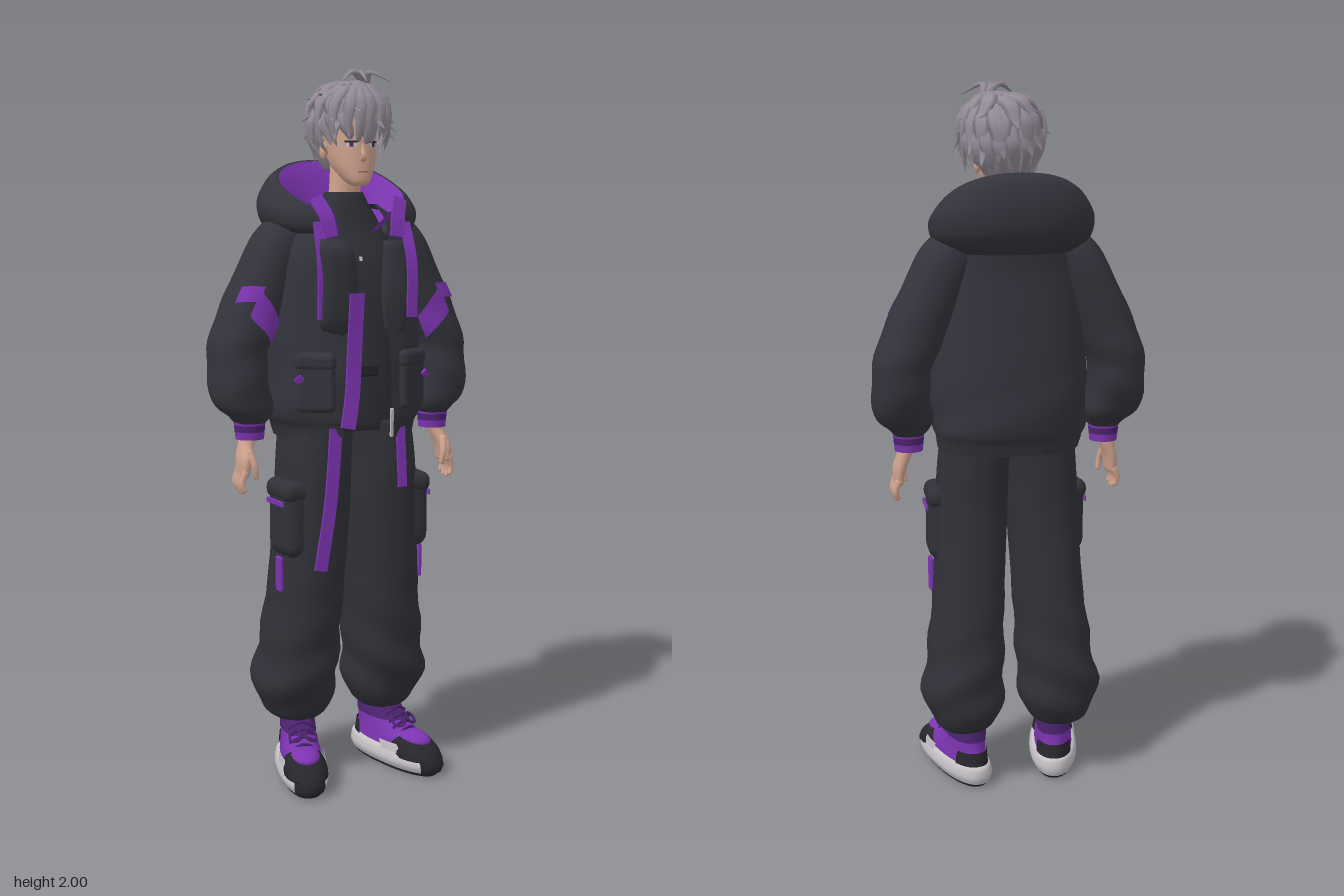
import * as THREE from 'three';
import { toCreasedNormals } from 'three/addons/utils/BufferGeometryUtils.js';
import { RoundedBoxGeometry } from 'three/addons/geometries/RoundedBoxGeometry.js';

const PI = Math.PI, V = (x, y, z) => new THREE.Vector3(x, y, z);
const mat = (name, color, side = THREE.FrontSide) => {
  const m = new THREE.MeshStandardMaterial({ color, side });
  m.name = name;
  return m;
};

// Closed or open skin over rings of points, listed from bottom to top
function skin(rings, closed = true) {
  const m = rings[0].length, pts = rings.flat(), idx = [];
  for (let i = 0; i < rings.length - 1; i++)
    for (let j = 0; j < (closed ? m : m - 1); j++) {
      const a = i * m + j, b = i * m + (j + 1) % m;
      idx.push(a, a + m, b + m, a, b + m, b);
    }
  if (closed) [0, rings.length - 1].forEach((r, top) => {
    const c = rings[r].reduce((s, p) => s.add(p), V(0, 0, 0)).divideScalar(m);
    pts.push(c);
    for (let j = 0; j < m; j++) {
      const a = r * m + j, b = r * m + (j + 1) % m;
      idx.push(pts.length - 1, top ? b : a, top ? a : b);
    }
  });
  const g = new THREE.BufferGeometry().setFromPoints(pts);
  g.setIndex(idx);
  g.computeVertexNormals();
  return g;
}

// Cross-section rows: x, y, z, radius x, radius z, tilt over x, tilt over z, half-gap angle at the front
function interp(rows, t) {
  const n = rows.length - 1, i = Math.min(Math.floor(t), n - 1), f = t - i;
  const r = k => rows[Math.max(0, Math.min(n, k))];
  return Array.from({ length: 8 }, (_, k) => {
    const [a, b, c, d] = [r(i - 1), r(i), r(i + 1), r(i + 2)].map(q => q[k] ?? 0);
    return b + 0.5 * f * (c - a + f * (2 * a - 5 * b + 4 * c - d + f * (3 * (b - c) + d - a)));
  });
}
const box = v => Math.sign(v) * Math.abs(v) ** 0.88;
function at(rows, t, a, off = 0, fold) {
  const [x, y, z, rx, rz, tx, tz] = interp(rows, t), c = Math.cos(a), s = Math.sin(a);
  const k = fold ? 1 + fold(a, y) : 1;
  return V(x + (rx * k + off) * box(c), y + tx * c + tz * s, z + (rz * k + off) * box(s));
}
function loft(rows, { seg = 36, steps = 5, open = false, fold } = {}) {
  const rings = [], n = (rows.length - 1) * steps;
  for (let i = 0; i <= n; i++) {
    const t = i / steps, g = open ? interp(rows, t)[7] : 0;
    rings.push(Array.from({ length: open ? seg + 1 : seg }, (_, j) =>
      at(rows, t, PI / 2 + g + (2 * PI - 2 * g) * j / seg, 0, fold)));
  }
  return skin(rings, !open);
}
// Thin panel lying on a lofted surface
function patch(rows, y0, y1, a0, a1, { side = 1, off = 0.006, slant = 0, fold } = {}) {
  if (side < 0) [a0, a1] = [PI - a1, PI - a0];
  const find = y => {
    let lo = 0, hi = rows.length - 1;
    for (let i = 0; i < 24; i++) interp(rows, (lo + hi) / 2)[1] < y ? lo = (lo + hi) / 2 : hi = (lo + hi) / 2;
    return lo;
  };
  return skin([0, 1, 2, 3].map(i => Array.from({ length: 13 }, (_, j) => at(rows,
    find(y0 + (y1 - y0) * i / 3 + slant * side * (j / 12 - 0.5)), a0 + (a1 - a0) * j / 12, off, fold))), false);
}
// Flattened strand along a curve; four sides make a flat ribbon
function sweep(pts, w, th, { ref = () => V(0, 0, 1), sides = 8, steps = 10 } = {}) {
  const curve = new THREE.CatmullRomCurve3(pts.map(p => Array.isArray(p) ? V(...p) : p));
  const val = (f, t) => typeof f === 'function' ? f(t) : f, k = sides === 4 ? Math.SQRT2 : 1, rings = [];
  for (let i = 0; i <= steps; i++) {
    const t = i / steps, P = curve.getPoint(t), T = curve.getTangent(t);
    const S = T.clone().cross(ref(P)).normalize(), N = S.clone().cross(T);
    rings.push(Array.from({ length: sides }, (_, j) => {
      const a = (j + (sides === 4 ? 0.5 : 0)) * 2 * PI / sides;
      return P.clone().addScaledVector(S, k * val(w, t) * Math.cos(a)).addScaledVector(N, k * val(th, t) * Math.sin(a));
    }));
  }
  const g = skin(rings);
  return sides === 4 ? toCreasedNormals(g, 0.7) : g;
}

export function createModel() {
  const model = new THREE.Group(), D = THREE.DoubleSide;
  const jacket = mat('charcoal jacket', 0x33343c, D), cloth = mat('charcoal trousers', 0x303138, D);
  const purple = mat('purple trim', 0x7c34b0, D), violet = mat('dark violet', 0x4d2470, D);
  const grey = mat('ash hair', 0x938b97, D), skinTone = mat('skin', 0xd0a38e, D);
  const white = mat('sole white', 0xc4c0c4, D), black = mat('black', 0x26262c, D), lip = mat('lips', 0xa06a60, D);
  const add = (name, geo, m, parent = model) => {
    const o = new THREE.Mesh(geo, m);
    o.name = name;
    parent.add(o);
    return o;
  };
  const block = (name, m, [w, h, d], [x, y, z], ry = 0, rx = 0, parent = model) => {
    const o = add(name, new RoundedBoxGeometry(w, h, d, 3, Math.min(w, h, d) * 0.45), m, parent);
    o.position.set(x, y, z);
    o.rotation.set(rx, ry, 0);
  };

  // Head, neck and face
  const head = [[.014, 1.688, .072, .016, .018], [.014, 1.703, .06, .034, .04], [.014, 1.75, .028, .058, .072],
    [.014, 1.82, .005, .07, .092], [.014, 1.89, 0, .072, .092], [.014, 1.94, -.01, .05, .06]];
  add('head', loft(head), skinTone);
  add('neck', loft([[0, 1.6, -.015, .052, .05], [.004, 1.66, -.005, .043, .044], [.01, 1.76, 0, .044, .046]]), skinTone);
  add('nose', sweep([[.014, 1.81, .089], [.014, 1.785, .097], [.014, 1.765, .105], [.014, 1.757, .092]],
    t => .005 + .006 * t, .007), skinTone);
  add('mouth', patch(head, 1.724, 1.728, 1.3, 1.84, { off: .002 }), lip);
  for (const side of [-1, 1]) {
    add('eyeWhite', patch(head, 1.793, 1.806, .92, 1.33, { side, off: .002 }), white);
    add('iris', patch(head, 1.793, 1.806, 1.06, 1.22, { side, off: .003 }), violet);
    add('eyelash', patch(head, 1.804, 1.809, .88, 1.36, { side, off: .004 }), black);
    const ear = add('ear', new THREE.SphereGeometry(1, 12, 8), skinTone);
    ear.scale.set(.011, .025, .016);
    ear.position.set(.014 + side * .072, 1.785, -.005);
  }

  // Hair: a cap covered with layers of tapering, flicked-out locks
  let seed = 11;
  const rnd = () => (seed = (seed * 16807) % 2147483647) / 2147483647;
  const C = V(.022, 1.86, -.022), R = V(.107, .118, .12);
  const pt = (th, ph, k) => V(Math.sin(th) * Math.sin(ph), Math.cos(th), Math.sin(th) * Math.cos(ph))
    .multiply(R).multiplyScalar(k).add(C);
  const cap = add('hairCap', new THREE.SphereGeometry(.97, 32, 20, 0, 2 * PI, 0, PI * .64)
    .rotateX(-.68).scale(R.x, R.y, R.z), grey);
  cap.position.copy(C);
  const lock = (pts, w) => add('hairLock', sweep(pts, t => w * Math.min(1, .45 + 2 * t) * (1.001 - t) ** .75,
    t => .013 * (1.02 - t), { ref: p => p.clone().sub(C).normalize(), sides: 6, steps: 9 }), grey);
  const whorl = pt(.5, .9, 1);
  for (const [n, t0, t1, k, w] of [[11, .3, 1.2, 1.12, .036], [15, .5, 1.7, 1.14, .034], [19, 1.0, 2.12, 1.06, .031]])
    for (let i = 0; i < n; i++) {
      const ph = (i + rnd() * .7) / n * 2 * PI, tw = (rnd() - .3) * .6, f = Math.cos(ph + tw);
      const end = t1 * (f > 0 ? 1 - .1 * f : 1 - .19 * f) + (rnd() - .5) * .35;
      const start = pt(t0, ph, .98).lerp(whorl, t0 < .4 ? .75 : .2);
      lock([start, pt((t0 + end) / 2, ph + tw * .3, 1.05), pt(end * .9, ph + tw * .8, 1.07), pt(end, ph + tw, k + rnd() * .2)], w);
    }
  // Parted fringe and side locks
  for (const [ph, end, k] of [[-.75, 2.1, 1.12], [-.42, 1.95, 1.17], [-.18, 2.12, 1.1], [.02, 2.3, 1.04], [.34, 1.95, 1.16],
    [.62, 2.1, 1.12], [-1.1, 2.3, 1.1], [1.1, 2.3, 1.12], [-1.5, 2.35, 1.12], [1.5, 2.3, 1.25], [1.3, 1.9, 1.35]])
    lock([pt(.6, ph * .7 + .2, 1.02), pt(1.2, ph * 1.15 + .08, 1.13), pt(end * .85, ph * 1.1, 1.1), pt(end, ph, k)], .024);
  for (const [x, z] of [[-.06, .06], [0, .1], [.1, .07]])
    lock([whorl, [.03 + x * .3, 1.997, .02 + z * .3], [.02 + x, 1.965, .01 + z]], .016);
  // Nape
  add('hairNape', loft([[.012, 1.735, -.055, .045, .03], [.016, 1.77, -.055, .07, .05], [.02, 1.82, -.05, .09, .075]]), grey);

  // Shirt, buckle
  const shirt = [[0, 1.015, 0, .17, .128], [0, 1.2, 0, .165, .135], [0, 1.45, 0, .155, .118], [0, 1.57, -.01, .115, .086],
    [0, 1.65, 0, .064, .06], [0, 1.672, 0, .053, .053]];
  add('shirt', loft(shirt), cloth);
  add('shirtZip', patch(shirt, 1.485, 1.497, 1.55, 1.59), white);
  block('buckle', black, [.06, .035, .015], [.012, 1.185, .137]);

  // Open jacket
  const coat = [[0, .995, -.002, .2, .158, 0, 0, .3], [0, 1.03, -.002, .208, .167, 0, 0, .3], [0, 1.07, -.002, .222, .178, 0, 0, .28],
    [0, 1.2, -.002, .222, .176, 0, 0, .25], [0, 1.38, 0, .212, .158, 0, 0, .24], [0, 1.5, 0, .2, .144, 0, 0, .35],
    [0, 1.59, -.02, .165, .125, 0, 0, .5], [0, 1.64, -.02, .1, .09, 0, 0, .7]];
  const coatFold = (a, y) => .022 * Math.sin(y * 34 + 3 * a) * Math.max(0, 1 - Math.abs(y - 1.1) * 5)
    + (y < 1.03 ? .008 * Math.sin(a * 30) : 0);
  add('jacketBody', loft(coat, { open: true, seg: 96, fold: coatFold }), jacket);
  add('zip', sweep([[.072, 1.0, .165], [.066, 1.08, .178]], .004, .004, { sides: 4 }), white);
  add('rightLapel', loft([[-.095, 1.29, .15, .035, .012, -.01], [-.088, 1.33, .155, .055, .022], [-.085, 1.43, .155, .056, .028],
    [-.092, 1.51, .15, .05, .032], [-.1, 1.545, .135, .035, .02]]), jacket);
  add('leftLapel', loft([[.09, 1.29, .145, .03, .01], [.095, 1.4, .143, .045, .016], [.1, 1.54, .125, .035, .016]]), jacket);

  // Hood lying open around the neck, sloping down to the front, with purple lining
  add('hood', loft([[0, 1.55, -.03, .17, .135, 0, 0, .5], [0, 1.583, -.042, .216, .172, 0, -.018, .48],
    [0, 1.633, -.045, .228, .178, 0, -.042, .48], [0, 1.672, -.035, .207, .168, 0, -.07, .47],
    [0, 1.688, -.02, .184, .15, 0, -.078, .45], [0, 1.683, -.015, .174, .142, 0, -.077, .45]], { open: true, seg: 56 }), jacket);
  add('hoodLining', loft([[0, 1.686, -.015, .176, .144, 0, -.077, .44], [0, 1.655, -.012, .152, .126, 0, -.066, .42],
    [0, 1.605, -.01, .118, .104, 0, -.035, .42], [0, 1.56, -.01, .095, .088, 0, 0, .45]], { open: true, seg: 48 }), purple);

  // Long purple straps
  const strap = (name, pts, w) => add(name, sweep(pts, w, .004, { sides: 4, steps: 12 }), purple);
  strap('jacketStrap', [[-.045, 1.4, .188], [-.05, 1.25, .182], [-.06, 1.12, .188], [-.078, 1.035, .2]], .021);
  strap('trouserStrapLong', [[-.09, 1.03, .148], [-.108, .83, .153], [-.14, .635, .155]], .018);
  strap('trouserStrapShort', [[.112, 1.02, .14], [.118, .85, .143]], .013);

  const sleeve = s => [[s * .287, 1.04, 0, .042, .044], [s * .288, 1.058, -.002, .058, .06], [s * .302, 1.1, -.015, .082, .086],
    [s * .313, 1.21, -.033, .078, .102, s * .01], [s * .28, 1.32, -.036, .077, .1, s * .025], [s * .234, 1.42, -.036, .07, .095, s * .035],
    [s * .186, 1.52, -.032, .064, .09, s * .04], [s * .13, 1.58, -.028, .055, .075, s * .04]];
  const legRows = s => [[s * .137, .165, -.04, .066, .075], [s * .14, .19, -.04, .092, .098], [s * .143, .27, -.036, .117, .13],
    [s * .132, .4, -.022, .108, .136], [s * .116, .6, -.002, .1, .134], [s * .106, .8, .012, .102, .126],
    [s * .1, .93, .012, .1, .126], [s * .09, 1.04, .005, .1, .122]];
  for (const side of [-1, 1]) {
    strap('liningEdge', [[side * .128, 1.655, .095], [side * .108, 1.605, .125], [side * .1, 1.55, .137]], .02);
    strap('drawstring', [[side * .13, 1.59, .122], [side * .134, 1.48, .16], [side * .134, 1.33, .162]], .015);
    block('jacketPocket', jacket, [.11, .15, .035], [side * .145, 1.15, .134], side * .55);
    block('jacketPocketFlap', jacket, [.116, .05, .04], [side * .146, 1.215, .136], side * .55);
    strap('pocketTab', [[side * .185, 1.175, .137], [side * .2, 1.16, .128]], .009);

    // Sleeve, cuff and shoulder flashes
    const rows = sleeve(side), fold = (a, y) => .05 * Math.sin(y * 50 + side * 2 * Math.cos(a)) * Math.max(0, 1 - Math.abs(y - 1.2) * 5);
    add('sleeve', loft(rows, { fold }), jacket);
    add('sleeveFlash', patch(rows, 1.36, 1.4, .6, 1.35, { side, fold, slant: .02 }), purple);
    add('sleeveFlash', patch(rows, 1.3, 1.37, 1.25, 2.3, { side, fold, slant: -.06 }), purple);
    [[1.045, purple, .046], [1.026, violet, .044], [1.005, purple, .042]].forEach(([y, m, r]) => {
      add('cuff', new THREE.CylinderGeometry(r, r - .002, .022, 24), m).position.set(side * .287, y, 0);
    });

    // Hand
    add('palm', loft([[side * .316, .895, .018, .013, .036], [side * .312, .94, .016, .018, .041],
      [side * .3, .98, .004, .021, .03], [side * .288, 1.02, 0, .022, .026]], { seg: 20 }), skinTone);
    for (let i = 0; i < 4; i++) {
      const z = .046 - i * .019, tip = .842 + Math.abs(i - 1.4) * .008;
      add('finger', sweep([[side * .317, .91, z], [side * .328, .875, z], [side * .32, tip, z + .003]],
        t => .0105 - .003 * t, t => .0105 - .004 * t, { ref: () => V(1, 0, 0) }), skinTone);
    }
    add('thumb', sweep([[side * .305, .965, .035], [side * .295, .925, .057], [side * .289, .89, .056]],
      t => .013 - .005 * t, t => .012 - .005 * t, { ref: () => V(1, 0, 0) }), skinTone);

    // Baggy trouser leg with cargo pocket
    const leg = legRows(side), legFold = (a, y) => .06 * Math.sin(y * 42 + side * 2.4 * Math.cos(a) + Math.sin(a))
      * Math.max(0, 1 - Math.abs(y - .3) * 3);
    add('trouserLeg', loft(leg, { fold: legFold, seg: 44 }), cloth);
    block('cargoPocket', cloth, [.085, .21, .14], [side * .186, .765, .045], side * -.08);
    block('cargoFlap', cloth, [.09, .06, .148], [side * .187, .85, .045], side * -.08);
    block('cargoTab', purple, [.006, .016, .1], [side * .232, .818, .05], side * -.08);
    block('cargoStrap', purple, [.012, .1, .036], [side * .219, .61, .045]);

    // Trainer, turned outwards
    const shoe = new THREE.Group();
    shoe.name = 'shoe';
    shoe.position.set(side * .153, 0, .04);
    shoe.rotation.y = side * .25;
    model.add(shoe);
    const upper = [[0, .045, 0, .058, .168], [0, .08, -.012, .055, .148], [0, .11, -.045, .05, .108],
      [0, .15, -.075, .047, .075], [0, .19, -.08, .045, .066]];
    const mid = [[0, .01, 0, .063, .178], [0, .03, 0, .072, .184], [0, .055, -.004, .066, .176], [0, .062, -.004, .055, .165]];
    add('outsole', loft([[0, 0, 0, .056, .168], [0, .014, 0, .062, .178]]), black, shoe);
    add('midsole', loft(mid), white, shoe);
    add('toeBumper', patch(mid, .012, .057, 1.0, 2.14, { off: .004 }), black, shoe);
    add('upper', loft(upper), purple, shoe);
    add('toeCap', loft([[0, .045, .08, .063, .1], [0, .07, .072, .059, .088],
      [0, .095, .06, .042, .062], [0, .103, .055, .015, .025]]), black, shoe);
    add('heelPanel', patch(upper, .06, .1, 1.2 * PI, 1.8 * PI, { off: .005 }), black, shoe);
    add('ankleCollar', patch(upper, .13, .18, 0, 2 * PI, { off: .004 }), violet, shoe);
    for (const a of [.05, PI - .5]) add('sidePanel', patch(upper, .055, .08, a, a + .45, { off: .01 }), white, shoe);
    const vamp = add('vamp', new THREE.SphereGeometry(1, 20, 12), purple, shoe);
    vamp.scale.set(.042, .024, .062);
    vamp.position.set(0, .089, .078);
    block('tongue', violet, [.06, .1, .02], [0, .135, .005], 0, -.6, shoe);
    for (let i = 0; i < 4; i++) {
      const y = .108 + i * .016, z = .058 - i * .017;
      add('lace', sweep([[-.038, y - .012, z - .01], [0, y + .008, z], [.038, y - .012, z - .01]], .005, .004), violet, shoe);
    }
    for (const q of [-1, 1]) {
      const bow = add('laceBow', new THREE.TorusGeometry(.018, .004, 6, 16), violet, shoe);
      bow.position.set(q * .022, .135, .04);
      bow.rotation.set(-.9, q * .4, 0);
    }
  }
  return model;
}
